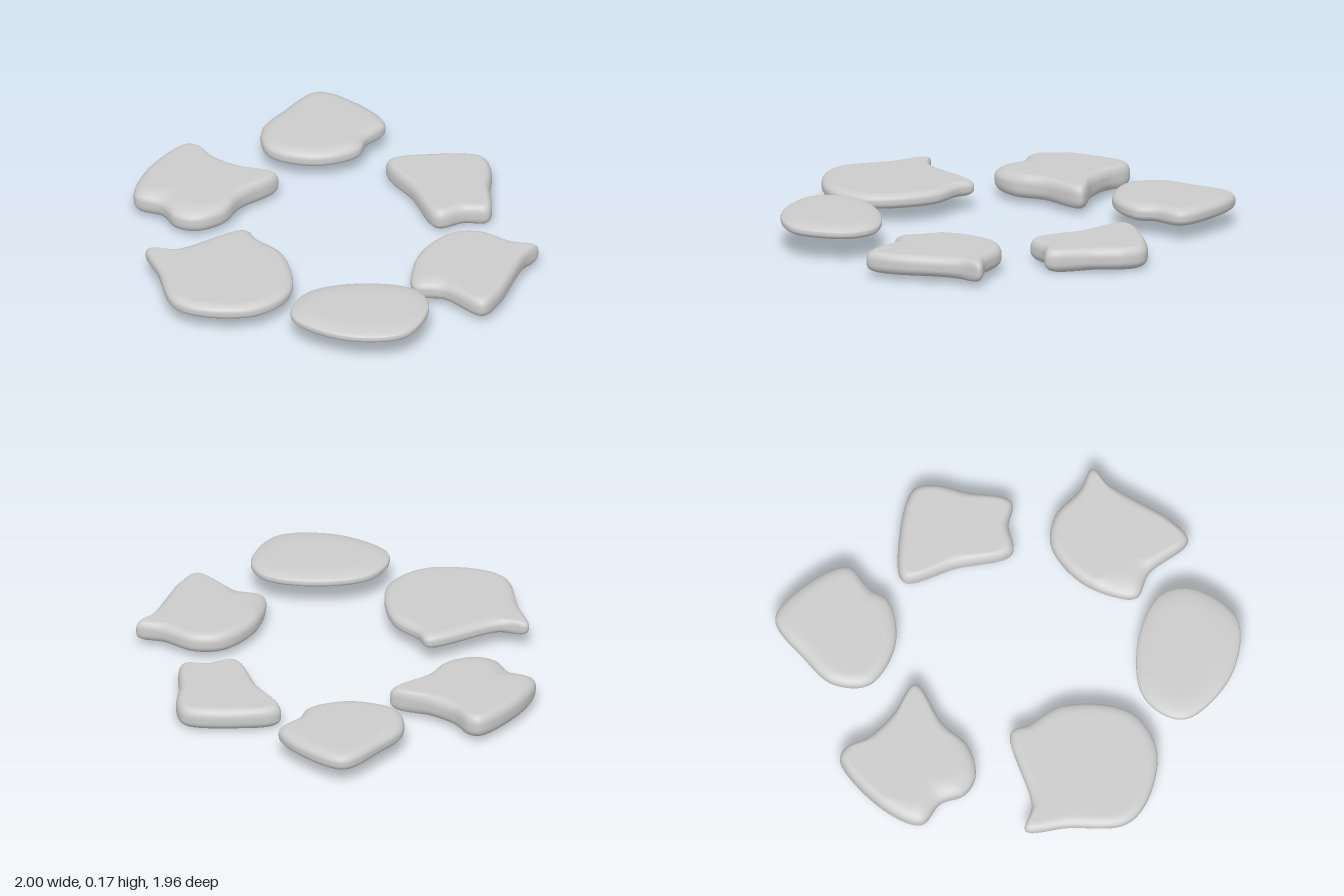
import * as THREE from 'three';

const material = new THREE.MeshStandardMaterial({ color: 0xcccccc });
const STEPS = 6;

// A flat stone: a smooth closed curve through a few corners, clockwise from above,
// repeated as rings that draw in towards the middle at the rounded rims.
// low and high are the rim insets; slope widens the top inset near one spot.
function addStone(group, name, [y0, y1], { low, high, slope }, corners) {
  const knots = corners.map(([x, z]) => new THREE.Vector3(x, 0, z));
  const curve = new THREE.CatmullRomCurve3(knots, true, 'centripetal');
  const count = knots.length * 12;
  const edge = curve.getPoints(count).slice(0, count);
  const mid = new THREE.Box3().setFromPoints(edge).getCenter(new THREE.Vector3());

  // Rings as height, share of bottom inset, share of top inset, shrink factor
  const lowSide = y0 + (y1 - y0) * 0.4, highSide = y0 + (y1 - y0) * 0.6;
  const angles = Array.from({ length: STEPS + 1 }, (_, k) => (k / STEPS) * Math.PI / 2);
  const rings = [
    [y0, 1, 0, 0], [y0, 1, 0, 0.96],
    ...angles.map((a) => [lowSide - (lowSide - y0) * Math.cos(a), 1 - Math.sin(a), 0, 1]),
    ...angles.map((a) => [highSide + (y1 - highSide) * Math.sin(a), 0, 1 - Math.cos(a), 1]),
    [y1, 0, 1, 0.96], [y1, 0, 1, 0],
  ];

  const positions = [], index = [];
  rings.forEach(([y, bottom, top, shrink], k) => {
    edge.forEach((p, i) => {
      const dx = p.x - mid.x, dz = p.z - mid.z;
      let topInset = high;
      if (slope) {
        const near = Math.hypot(p.x - slope.x, p.z - slope.z) / slope.reach;
        topInset += slope.amount * Math.max(0, 1 - near * near);
      }
      const s = shrink * (1 - (bottom * low + top * topInset) / Math.hypot(dx, dz));
      positions.push(mid.x + dx * s, y, mid.z + dz * s);
      if (k < rings.length - 1) {
        const a = k * count + i, b = k * count + (i + 1) % count;
        index.push(a, a + count, b, b, a + count, b + count);
      }
    });
  });
  const geometry = new THREE.BufferGeometry();
  geometry.setAttribute('position', new THREE.Float32BufferAttribute(positions, 3));
  geometry.setIndex(index);
  geometry.computeVertexNormals();
  const mesh = new THREE.Mesh(geometry, material);
  mesh.name = name;
  group.add(mesh);
}

export function createModel() {
  const group = new THREE.Group();
  group.name = 'steppingStones';

  // Back row
  addStone(group, 'backLeftStone', [0.065, 0.155], { low: 0.07, high: 0.06 }, [
    [-.82, -.84], [-.6, -.89], [-.39, -.84], [-.375, -.69], [-.34, -.59],
    [-.44, -.4], [-.66, -.31], [-.8, -.42], [-.83, -.6]]);
  addStone(group, 'backStone', [0, 0.115], { low: 0.07, high: 0.04 }, [
    [-.21, -.645], [-.105, -.82], [.1, -.98], [.19, -.94], [.295, -.815],
    [.435, -.65], [.355, -.57], [.285, -.447], [.03, -.55]]);

  // Sides, each with a sloping front
  addStone(group, 'leftStone', [0.025, 0.14],
    { low: 0.04, high: 0.04, slope: { x: -.7, z: .42, reach: .35, amount: .08 } }, [
      [-1, -.09], [-.95, -.125], [-.825, -.105], [-.665, -.125], [-.485, -.185], [-.5, .055],
      [-.473, .215], [-.53, .35], [-.625, .393], [-.745, .36], [-.88, .39], [-.98, .22]]);
  addStone(group, 'rightStone', [0.027, 0.13],
    { low: 0.05, high: 0.04, slope: { x: .6, z: .1, reach: .2, amount: .09 } }, [
      [.45, -.36], [.55, -.465], [.725, -.5], [.835, -.55], [.85, -.44], [.98, -.105],
      [.98, .01], [.74, .025], [.62, .088], [.53, .01], [.447, -.16]]);

  // Front row
  addStone(group, 'frontStone', [0.07, 0.145], { low: 0.05, high: 0.05 }, [
    [-.513, .72], [-.415, .64], [-.275, .287], [-.185, .307], [0, .325],
    [.238, .54], [.227, .767], [.03, .95], [-.12, .977], [-.345, .826]]);
  addStone(group, 'frontRightStone', [0.107, 0.17], { low: 0.06, high: 0.11 }, [
    [.335, .5], [.485, .28], [.7, .165], [.84, .23], [.917, .485],
    [.725, .69], [.44, .74], [.355, .66]]);
  return group;
}
